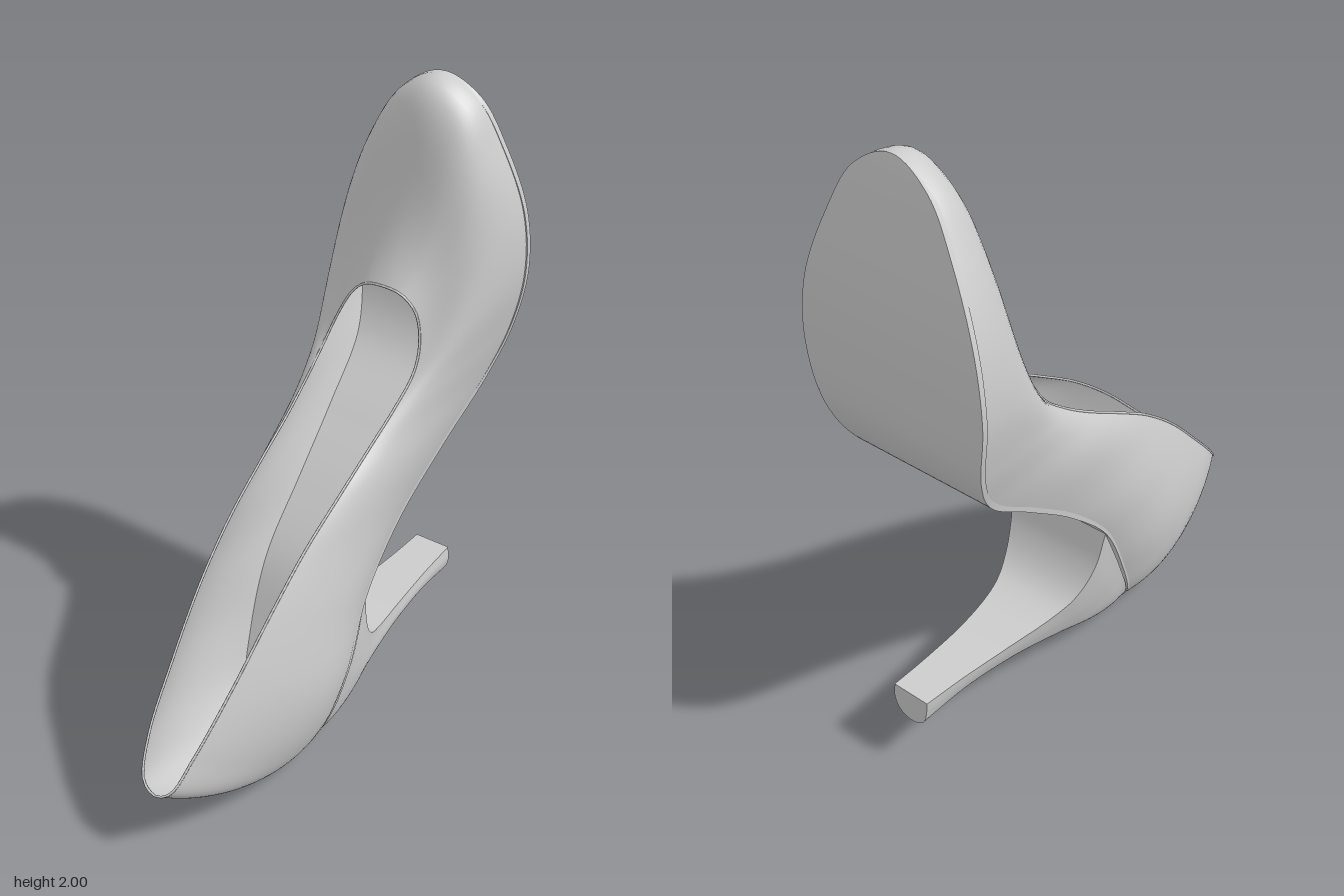
import * as THREE from 'three';
import { toCreasedNormals } from 'three/addons/utils/BufferGeometryUtils.js';

const V = (x, y, z) => new THREE.Vector3(x, y, z);

// Stations from toe to heel: sole edge [y, z, right x, left x], then topline [y, z, right x, left x]
const STATIONS = [
  [2.0, -.66, .03, .03, 1.42, -.37, .03, .03],
  [1.94, -.676, -.095, .145, 1.407, -.376, -.04, .09],
  [1.8, -.708, -.193, .22, 1.355, -.388, -.098, .135],
  [1.6, -.742, -.28, .288, 1.26, -.38, -.147, .158],
  [1.4, -.752, -.308, .303, 1.18, -.34, -.165, .165],
  [1.2, -.736, -.28, .27, 1.1, -.25, -.163, .16],
  [1.05, -.66, -.242, .235, 1.02, -.14, -.157, .152],
  [.885, -.46, -.208, .208, .925, .01, -.15, .148],
  [.71, -.25, -.183, .19, .815, .175, -.14, .142],
  [.52, -.07, -.175, .195, .68, .335, -.125, .137],
  [.3, .04, -.158, .208, .5, .51, -.1, .123],
  [.13, .113, -.125, .177, .34, .66, -.07, .1],
  [.03, .155, -.055, .112, .25, .74, -.025, .075],
  [0, .17, .03, .03, .23, .755, .03, .03],
];
// Wall handles [station, outward, dy, dz at the sole, outward, dy, dz at the topline]
const HANDLES = [
  [0, 0, .02, .2, 0, .28, -.2],
  [2, .005, .02, .21, .06, .17, -.15],
  [4, 0, 0, .2, .08, .06, -.08],
  [8, .035, .07, .13, .067, -.03, -.13],
  [10, .085, .03, .17, .09, -.09, -.14],
  [12, .05, .01, .19, .055, -.12, -.15],
  [13, 0, 0, .2, 0, -.14, -.16],
];
const LAST = STATIONS.length - 1;
const KEYS = LAST * 2;
const SUB = 8;
const N = KEYS * SUB;

function handleAt(k) {
  let i = 0;
  while (i < HANDLES.length - 2 && k > HANDLES[i + 1][0]) i++;
  const [a, b] = [HANDLES[i], HANDLES[i + 1]];
  const t = (k - a[0]) / (b[0] - a[0]);
  return a.map((v, j) => THREE.MathUtils.lerp(v, b[j], t));
}

// Four closed curves: sole edge, lower handle, upper handle, topline
function wallCurves() {
  const lists = [[], [], [], []];
  for (let i = 0; i < KEYS; i++) {
    const k = i <= LAST ? i : KEYS - i;
    const side = i <= LAST ? -1 : 1;
    const s = STATIONS[k], h = handleAt(k), c = side < 0 ? 2 : 3;
    const p = V(s[c], s[0], s[1]), q = V(s[c + 4], s[4], s[5]);
    lists[0].push(p);
    lists[1].push(p.clone().add(V(side * h[1], h[2], h[3])));
    lists[2].push(q.clone().add(V(side * h[4], h[5], h[6])));
    lists[3].push(q);
  }
  return lists.map(l => new THREE.CatmullRomCurve3(l, true));
}

// Skin over rows of points, each row a closed ring
function skin(rows) {
  const n = rows[0].length, index = [];
  for (let r = 0; r < rows.length - 1; r++) {
    for (let i = 0; i < n; i++) {
      const a = r * n + i, b = r * n + (i + 1) % n;
      index.push(a, b, a + n, b, b + n, a + n);
    }
  }
  const g = new THREE.BufferGeometry().setFromPoints(rows.flat());
  g.setIndex(index);
  g.computeVertexNormals();
  return g;
}

const spline = pts => new THREE.CatmullRomCurve3(pts.map(p => V(...p)));

export function createModel() {
  const group = new THREE.Group();
  const material = new THREE.MeshStandardMaterial({ color: 0xcccccc, side: THREE.DoubleSide });
  const add = (name, geometry) => {
    const mesh = new THREE.Mesh(geometry, material);
    mesh.name = name;
    group.add(mesh);
  };
  const curves = wallCurves();
  const [sole, , , topline] = curves;

  // Upper: a bulging wall from the sole edge to the topline
  const rings = [];
  for (let r = 0; r <= 20; r++) {
    const ring = [];
    for (let i = 0; i < N; i++) {
      const [p, a, b, q] = curves.map(c => c.getPoint(i / N));
      ring.push(new THREE.CubicBezierCurve3(p, a, b, q).getPoint(r / 20));
    }
    rings.push(ring);
  }
  add('upper', skin(rings));

  // Thin binding round the opening
  add('toplineBinding', new THREE.TubeGeometry(topline, 160, .004, 6, true));

  // Sole slab, straight across the width, also the footbed inside
  const slab = [];
  const mid = j => sole.getPoint(j / N).add(sole.getPoint(1 - j / N)).multiplyScalar(.5);
  for (let j = 0; j <= N / 2; j++) {
    const d = mid(Math.min(j + 1, N / 2)).sub(mid(Math.max(j - 1, 0)));
    const n = V(0, d.z, -d.y).normalize().multiplyScalar(.018);
    const l = sole.getPoint(j / N), r = sole.getPoint(1 - j / N);
    l.x -= .004;
    r.x += .004;
    slab.push([l, r, r.clone().add(n), l.clone().add(n)]);
  }
  add('sole', toCreasedNormals(skin(slab), .7));

  // Heel: the seat outline swept between breast and back curves, (width, y, z)
  const breast = spline([[1, .52, -.07], [.93, .4, -.1], [.8, .305, -.16], [.64, .258, -.25],
    [.48, .246, -.42], [.39, .254, -.6], [.35, .263, -.755]]);
  const back = spline([[0, 0, .17], [0, .005, .1], [0, .025, 0], [0, .07, -.14],
    [0, .125, -.35], [0, .155, -.57], [0, .148, -.755]]);
  const seat = [];
  for (let i = 9 * SUB; i <= (KEYS - 9) * SUB; i++) seat.push(sole.getPoint(i / N));
  const sections = [];
  for (let s = 0; s <= 36; s++) {
    const b = breast.getPoint(s / 36), c = back.getPoint(s / 36);
    sections.push(seat.map(p => {
      const f = THREE.MathUtils.clamp(1 - p.y / .52, 0, 1);
      const q = b.clone().lerp(c, f);
      q.x = .02 + (p.x - .02) * b.x;
      return q;
    }));
  }
  add('heel', toCreasedNormals(skin(sections), .7));

  // Flat end of the heel
  const tip = sections[sections.length - 1];
  add('heelTip', toCreasedNormals(skin([tip, tip.map(() => V(.02, .21, -.755))]), .7));

  return group;
}
